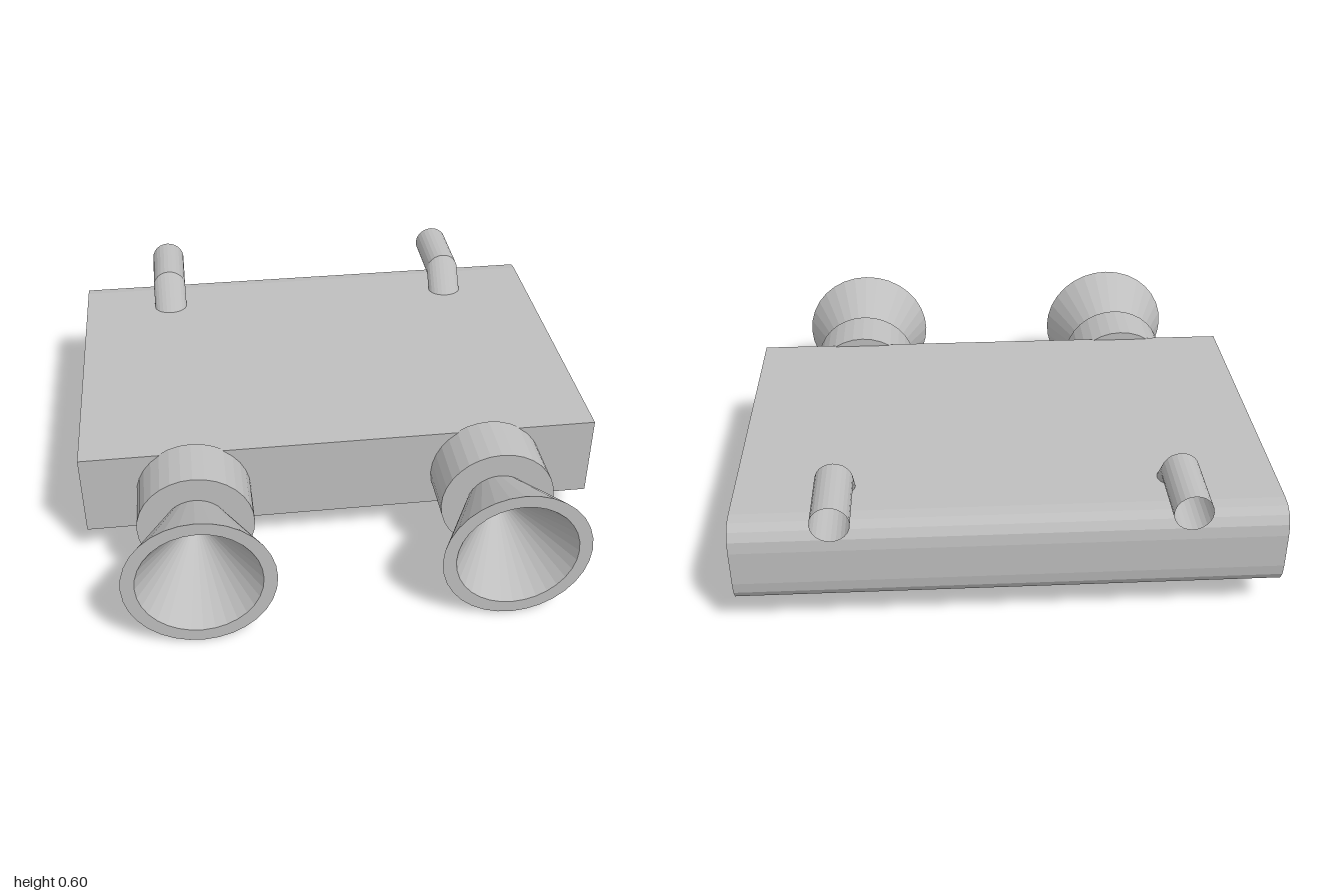
import * as THREE from 'three';

const SIDES = 32;
const greyMetal = new THREE.MeshStandardMaterial({ color: 0xbebebe, flatShading: true, side: THREE.DoubleSide });
greyMetal.name = 'greyMetal';

function part(name, geometry, parent) {
  const mesh = new THREE.Mesh(geometry, greyMetal);
  mesh.name = name;
  parent.add(mesh);
  return mesh;
}

// Slab with a rounded rear edge, profile drawn in (z, y) and extruded along x
function bodyGeometry() {
  const top = 0.465, bottom = 0.13, front = 0.46, back = -0.9, r = 0.1;
  const s = new THREE.Shape();
  // shape x is -z, so the extrusion runs along +x after the turn
  s.moveTo(-front, bottom);
  s.lineTo(-back - r, bottom);
  s.quadraticCurveTo(-back, bottom, -back, bottom + r);
  s.lineTo(-back, top - r);
  s.quadraticCurveTo(-back, top, -back - r, top);
  s.lineTo(-front, top);
  s.closePath();
  const g = new THREE.ExtrudeGeometry(s, { depth: 2, bevelEnabled: false, curveSegments: 4 });
  g.translate(0, 0, -1);
  g.rotateY(Math.PI / 2);
  return g;
}

// Revolve (radius, z) points about the z axis
function revolve(points) {
  const g = new THREE.LatheGeometry(points.map(([r, z]) => new THREE.Vector2(r, z)), SIDES);
  g.rotateX(Math.PI / 2);
  return g;
}

// Pipe skinned over rings: rear mouth, bend, and foot cut level with the slab top
function pipeGeometry() {
  const n = 24, r = 0.07, cy = 0.536, foot = 0.46, slope = 0.85;
  const pos = [], index = [];
  for (let ring = 0; ring < 3; ring++) {
    for (let i = 0; i < n; i++) {
      const a = (i / n) * Math.PI * 2;
      const x = r * Math.cos(a), y = cy + r * Math.sin(a);
      if (ring === 0) pos.push(x, y, -0.98);
      else if (ring === 1) pos.push(x, y, -0.706);
      else pos.push(x, foot, -0.706 + (y - foot) * slope);
    }
  }
  for (let ring = 0; ring < 2; ring++) {
    for (let i = 0; i < n; i++) {
      const a = ring * n + i, b = ring * n + (i + 1) % n;
      index.push(a, b, b + n, a, b + n, a + n);
    }
  }
  const g = new THREE.BufferGeometry();
  g.setAttribute('position', new THREE.Float32BufferAttribute(pos, 3));
  g.setIndex(index);
  g.computeVertexNormals();
  return g;
}

export function createModel() {
  const model = new THREE.Group();
  model.name = 'twinNozzlePack';
  part('body', bodyGeometry(), model);

  const collar = revolve([[0, 0.45], [0.22, 0.45], [0.22, 0.665], [0, 0.665]]);
  // Flared bell: outer cone, flat lip, inner cone and small throat disc
  const bell = revolve([[0.12, 0.66], [0.278, 0.977], [0.228, 0.977], [0.03, 0.67], [0, 0.67]]);
  const pipe = pipeGeometry();

  for (const [side, sx] of [['left', 1], ['right', -1]]) {
    const nozzle = new THREE.Group();
    nozzle.name = side + 'Nozzle';
    nozzle.position.set(0.575 * sx, 0.28, 0);
    part(side + 'Collar', collar, nozzle);
    part(side + 'Bell', bell, nozzle);
    model.add(nozzle);
    part(side + 'Pipe', pipe, model).position.x = 0.627 * sx;
  }
  return model;
}
